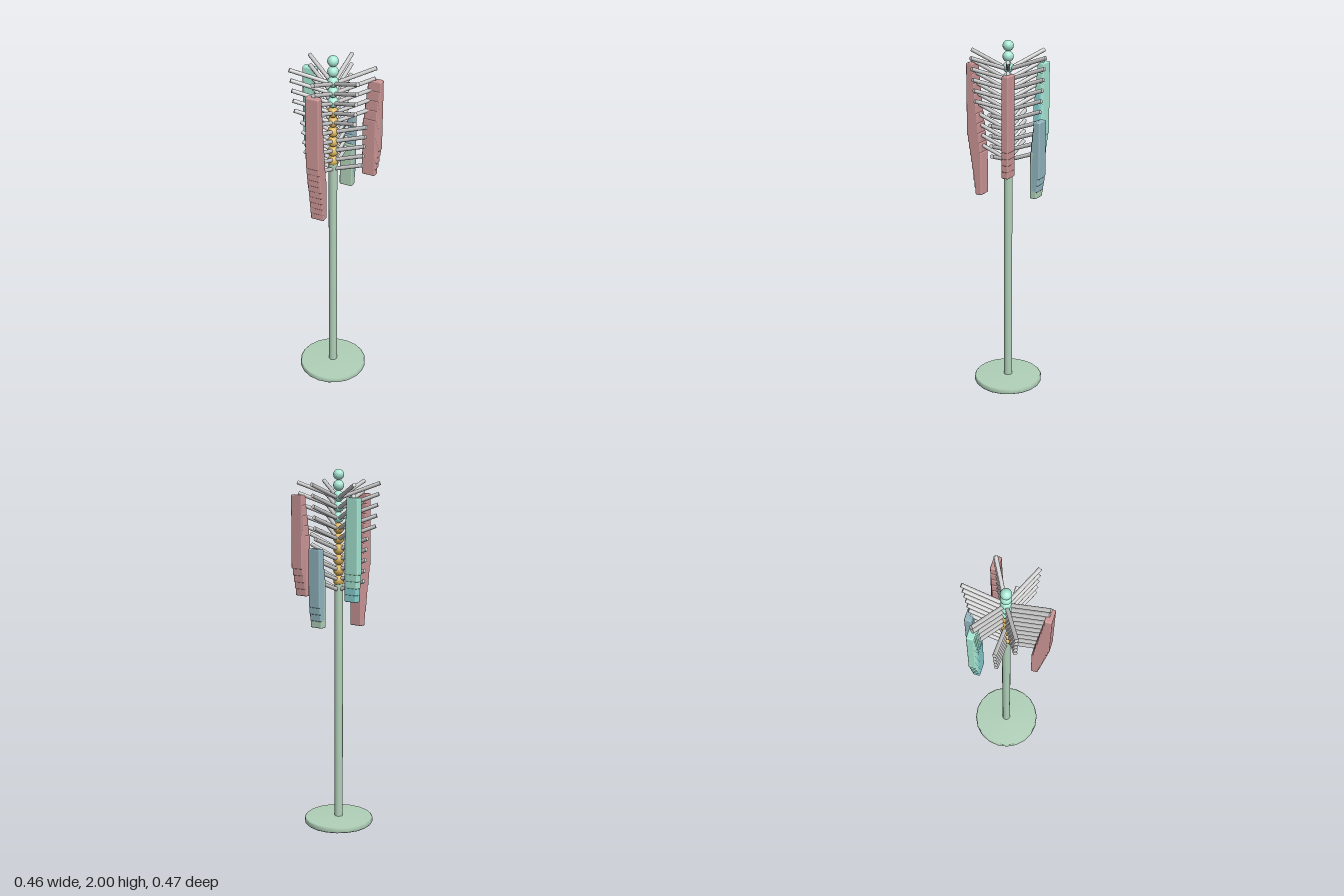
import * as THREE from 'three';
import { RoundedBoxGeometry } from 'three/addons/geometries/RoundedBoxGeometry.js';

const AXIS_Z = -0.01;   // the post stands slightly behind the centre
const SLOPE = 0.37;     // rise of the arms
const TIERS = 10;

const mat = (color) => new THREE.MeshStandardMaterial({ color });
const grey = mat(0xcccccc), green = mat(0xb0d0b8), mint = mat(0xa8e8d4);
const teal = mat(0x8ad4d4), blue = mat(0x92b6c0), pink = mat(0xcc9696), gold = mat(0xdcb45c);

function add(parent, name, geometry, material, x = 0, y = 0, z = 0) {
  const mesh = new THREE.Mesh(geometry, material);
  mesh.name = name;
  mesh.position.set(x, y, z);
  parent.add(mesh);
  return mesh;
}

const armLength = (tier) => 0.225 - 0.0057 * tier;

export function createModel() {
  const model = new THREE.Group();
  const rack = new THREE.Group();
  rack.name = 'rack';
  rack.position.z = AXIS_Z;
  model.add(rack);

  // Round foot with a softened rim, and the post
  const foot = [[0, 0], [0.188, 0], [0.194, 0.006], [0.194, 0.028], [0.188, 0.034], [0, 0.038]];
  add(rack, 'base', new THREE.LatheGeometry(foot.map(([x, y]) => new THREE.Vector2(x, y)), 20), green);
  add(rack, 'post', new THREE.CylinderGeometry(0.0235, 0.0235, 1.35, 16), green, 0, 0.705, 0);

  // Stacked beads that carry the arms
  const bead = new THREE.SphereGeometry(0.03, 12, 8);
  for (let i = 0; i < 11; i++) {
    add(rack, 'bead', bead, i < 5 ? mint : gold, 0, 1.97 - i * 0.0575, 0);
  }

  // Arms: six per tier above, four per tier below
  const up = new THREE.Vector3(0, 1, 0);
  for (let tier = 0; tier < TIERS; tier++) {
    const count = tier < 5 ? 6 : 4;
    const reach = armLength(tier);
    const rootY = 1.843 - tier * 0.0555;
    for (let i = 0; i < count; i++) {
      const a = Math.PI / 2 + (i * Math.PI * 2) / count;
      const tip = new THREE.Vector3(Math.cos(a) * reach, reach * SLOPE, Math.sin(a) * reach);
      const arm = add(rack, 'arm', new THREE.CylinderGeometry(0.011, 0.011, tip.length(), 10), grey,
        tip.x / 2, rootY + tip.y / 2, tip.z / 2);
      arm.quaternion.setFromUnitVectors(up, tip.clone().normalize());
    }
  }

  // Rows of overlapping hanging slabs, each tier shorter and nearer the post
  function hangingRow(name, angle, first, last, colorOf) {
    const row = new THREE.Group();
    row.name = name;
    rack.add(row);
    const a = THREE.MathUtils.degToRad(angle);
    for (let tier = first; tier <= last; tier++) {
      const top = 1.86 - 0.0545 * tier;
      const bottom = 1.455 - 0.037 * tier;
      const r = armLength(tier) - 0.004;
      add(row, 'slab', new RoundedBoxGeometry(0.077, top - bottom, 0.04, 2, 0.007), colorOf(tier),
        Math.cos(a) * r, (top + bottom) / 2, Math.sin(a) * r);
    }
  }
  hangingRow('frontRow', 90, 0, 9, () => pink);
  hangingRow('backLeftRow', -30, 0, 4, () => pink);
  hangingRow('backRightRow', 210, 0, 4, (t) => (t < 3 ? mint : teal));
  hangingRow('backRow', -90, 5, 8, (t) => (t < 8 ? blue : green));

  return model;
}
